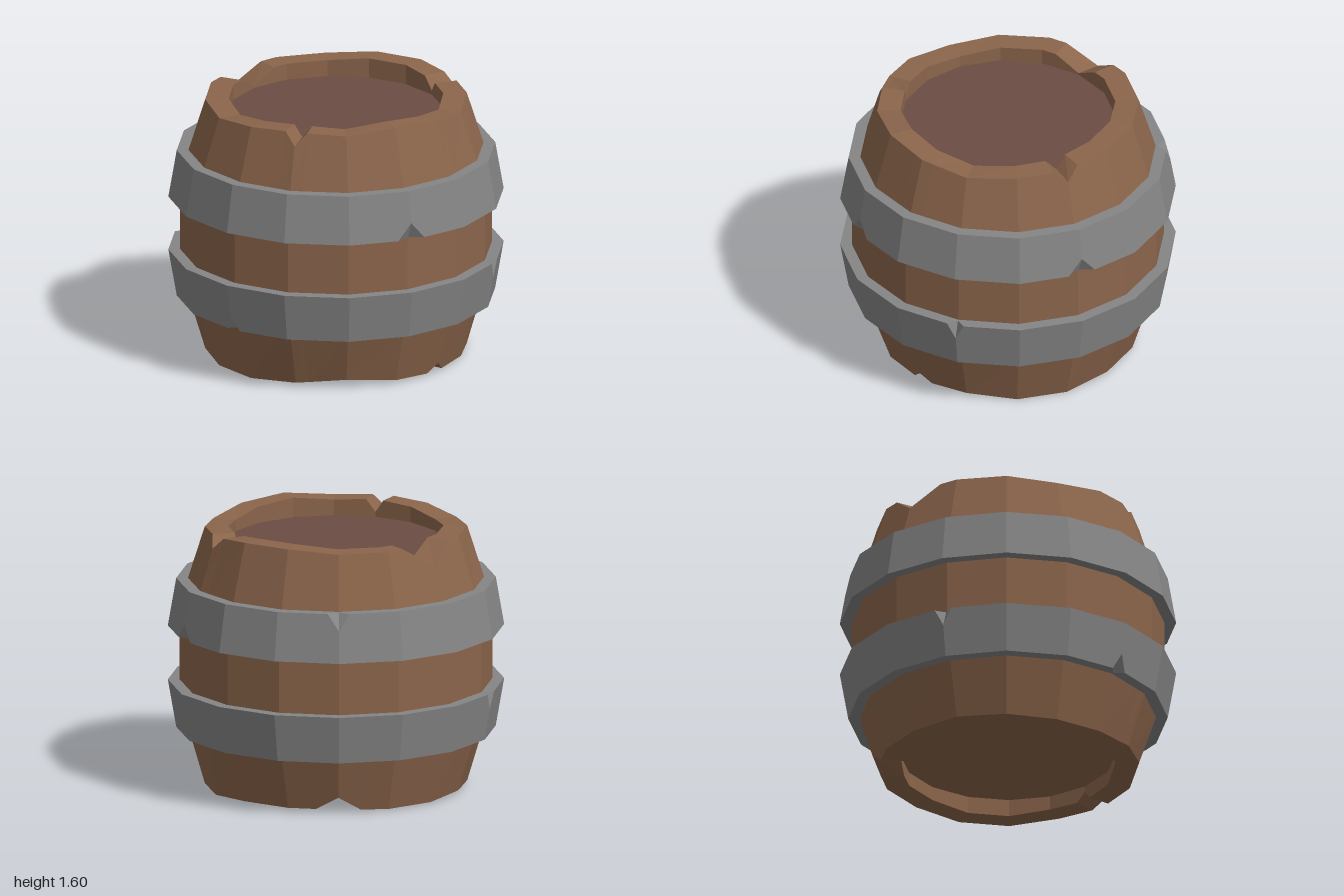
import * as THREE from 'three';

const SIDES = 16, STEP = 360 / SIDES;
const rad = THREE.MathUtils.degToRad;

// Radius factor that keeps a point at angle a on the flat facet of the 16-gon
function chord(a) {
  const m = ((a % STEP) + STEP) % STEP;
  return Math.cos(rad(STEP / 2)) / Math.cos(rad(m - STEP / 2));
}

// Column angles: every corner plus two extra either side of each notch
function columns(notches) {
  const set = new Set();
  for (let i = 0; i < SIDES; i++) set.add(i * STEP);
  for (const n of notches) for (const s of [-1, 1]) set.add((n.a + s * n.w + 360) % 360);
  return [...set].sort((p, q) => p - q);
}

// Skin a closed ring of profiles; profile(a) lists [radius, y] from bottom to top
function ringSkin(angles, profile, flip) {
  const pos = [], idx = [], n = angles.length;
  let rows = 0;
  for (const a of angles) {
    const p = profile(a), c = chord(a);
    rows = p.length;
    for (const [r, y] of p) pos.push(r * c * Math.sin(rad(a)), y, r * c * Math.cos(rad(a)));
  }
  for (let j = 0; j < n; j++) {
    const k = (j + 1) % n;
    for (let i = 0; i < rows - 1; i++) {
      const A = j * rows + i, B = k * rows + i, C = B + 1, D = A + 1;
      if (flip(angles[j], angles[k], i)) idx.push(A, B, D, B, C, D);
      else idx.push(A, B, C, A, C, D);
    }
  }
  const g = new THREE.BufferGeometry();
  g.setAttribute('position', new THREE.Float32BufferAttribute(pos, 3));
  g.setIndex(idx);
  g.computeVertexNormals();
  return g;
}

// Uneven rim heights per corner, going from the front round the left side
const TOP = [1.59, 1.575, 1.6, 1.58, 1.55, 1.57, 1.575, 1.6, 1.6, 1.58, 1.58, 1.575, 1.575, 1.57, 1.55, 1.575];
const BOTTOM = [0.02, 0.05, 0.02, 0.01, 0.02, 0, 0, 0.02, 0.02, 0.02, 0.01, 0.01, 0.02, 0.01, 0, 0];
// Chips in the rims: angle, half width, depth
const TOP_NOTCHES = [{ a: 0, w: 5, d: 0.08 }, { a: 135, w: 6, d: 0.07 }, { a: 247.5, w: 14, d: 0.12 }];
const BOTTOM_NOTCHES = [{ a: 67.5, w: 5, d: 0.06 }, { a: 202.5, w: 10, d: 0.08 }];

function rimHeight(list, a) {
  const t = a / STEP, i = Math.floor(t);
  return THREE.MathUtils.lerp(list[i % SIDES], list[(i + 1) % SIDES], t - i);
}
const notchDepth = (list, a) => list.find(n => n.a === a)?.d ?? 0;

// Bulging staves with a raised, chipped rim at both ends
function stavesGeometry() {
  return ringSkin(columns([...TOP_NOTCHES, ...BOTTOM_NOTCHES]), a => {
    const dt = notchDepth(TOP_NOTCHES, a), db = notchDepth(BOTTOM_NOTCHES, a);
    const t = rimHeight(TOP, a) - dt, b = rimHeight(BOTTOM, a) + db;
    return [
      [0.64, 0.11], [0.64, Math.min(b, 0.1)], [0.78 + 0.31 * db, b],
      [0.88, 0.345], [0.93, 0.505], [0.93, 1.095], [0.88, 1.255],
      [0.78 + 0.31 * dt, t], [0.64, Math.max(t, 1.49)], [0.64, 1.47],
    ];
  }, () => false);
}

// Sloped metal band; dents push the edge in at a corner
function hoopGeometry(y0, r0, y1, r1, dents) {
  const h = 0.1, f = h / (y1 - y0);
  const at = (list, a) => list.some(d => d.a === a);
  const low = dents.filter(d => !d.top), high = dents.filter(d => d.top);
  return ringSkin(columns(dents), a => [
    [0.86, y0],
    [r0 - (at(low, a) ? 0.06 : 0), y0],
    [r0 + (r1 - r0) * f, y0 + h],
    [r1 + (r0 - r1) * f, y1 - h],
    [r1 - (at(high, a) ? 0.06 : 0), y1],
    [0.86, y1],
  ], (a, b, i) => (i === 1 && at(low, a)) || (i === 3 && at(high, b)));
}

export function createModel() {
  const model = new THREE.Group();
  model.name = 'barrel';
  const paint = color => new THREE.MeshStandardMaterial({ color, flatShading: true });
  const wood = paint(0x8b654b), lidWood = paint(0x6b4c42), metal = paint(0x858585);
  const add = (name, geometry, material) => {
    const mesh = new THREE.Mesh(geometry, material);
    mesh.name = name;
    model.add(mesh);
    return mesh;
  };

  add('staves', stavesGeometry(), wood);

  // Recessed ends
  const lid = add('lid', new THREE.CircleGeometry(0.64, SIDES), lidWood);
  lid.rotation.x = -Math.PI / 2;
  lid.position.y = 1.48;
  const base = add('base', new THREE.CircleGeometry(0.64, SIDES), wood);
  base.rotation.x = Math.PI / 2;
  base.position.y = 0.105;

  // Hoops, widest towards the middle
  add('upperHoop', hoopGeometry(0.965, 1, 1.255, 0.95, [
    { a: 45, w: 5 }, { a: 135, w: 5 }, { a: 202.5, w: 4, top: true },
  ]), metal);
  add('lowerHoop', hoopGeometry(0.345, 0.95, 0.635, 1, [
    { a: 337.5, w: 3 }, { a: 90, w: 3, top: true }, { a: 270, w: 3, top: true },
  ]), metal);

  return model;
}
